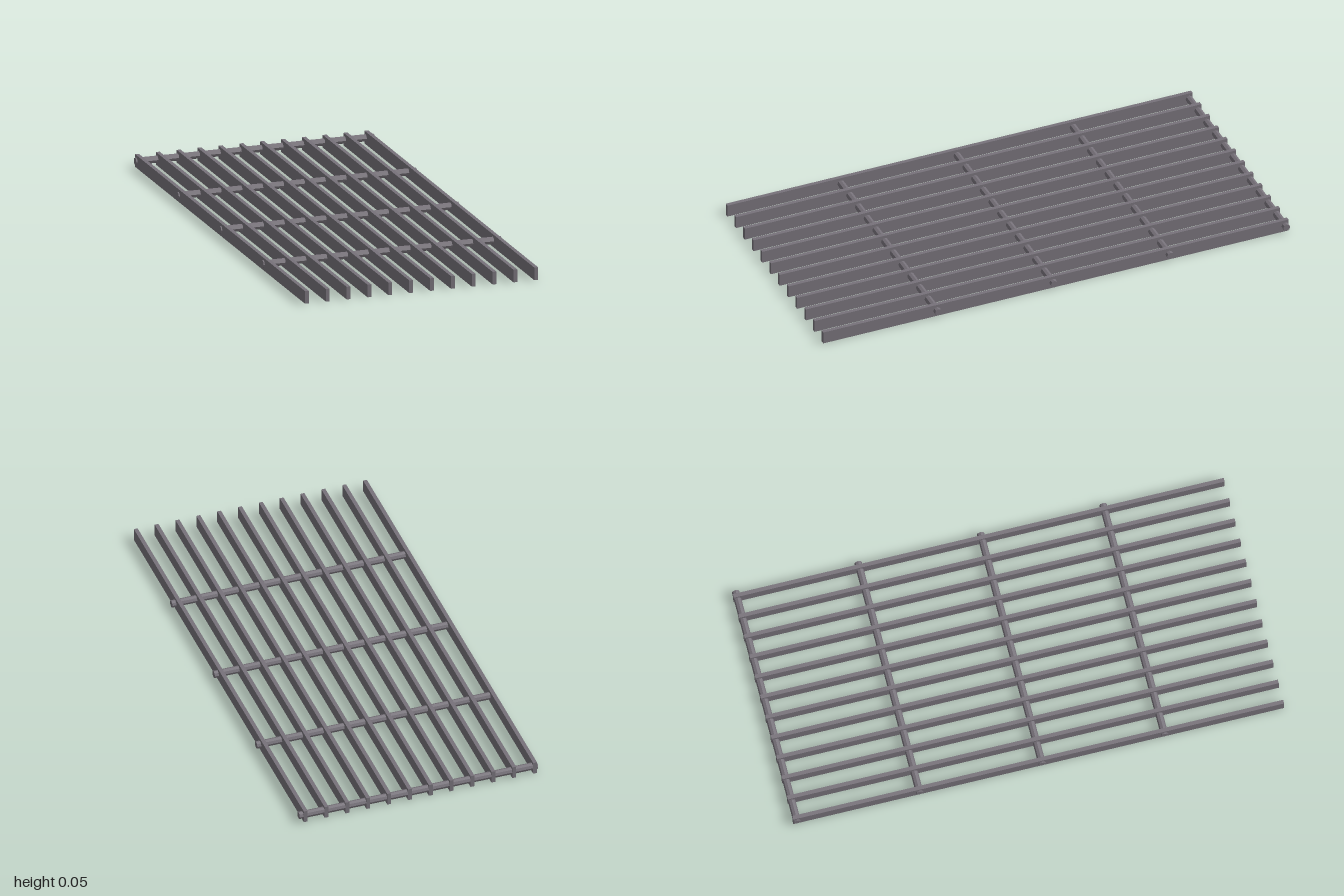
import * as THREE from 'three';

export function createModel() {
  const group = new THREE.Group();
  const metal = new THREE.MeshStandardMaterial({ color: 0x77727a, flatShading: true });

  // Long flat bars running front to back
  const barCount = 12, firstX = -0.487, lastX = 0.475, barHeight = 0.052;
  const barGeometry = new THREE.BoxGeometry(0.016, barHeight, 2);
  for (let i = 0; i < barCount; i++) {
    const bar = new THREE.Mesh(barGeometry, metal);
    bar.name = `bar${i + 1}`;
    bar.position.set(THREE.MathUtils.lerp(firstX, lastX, i / (barCount - 1)), barHeight / 2, 0);
    group.add(bar);
  }

  // Thin faceted cross rods threaded through the bars; the front end stays open
  const rodGeometry = new THREE.CylinderGeometry(0.015, 0.015, 1, 8).rotateZ(Math.PI / 2);
  for (let i = 0; i < 4; i++) {
    const rod = new THREE.Mesh(rodGeometry, metal);
    rod.name = `crossRod${i + 1}`;
    rod.position.set(0, 0.027, -0.985 + i * 0.499);
    group.add(rod);
  }
  return group;
}
